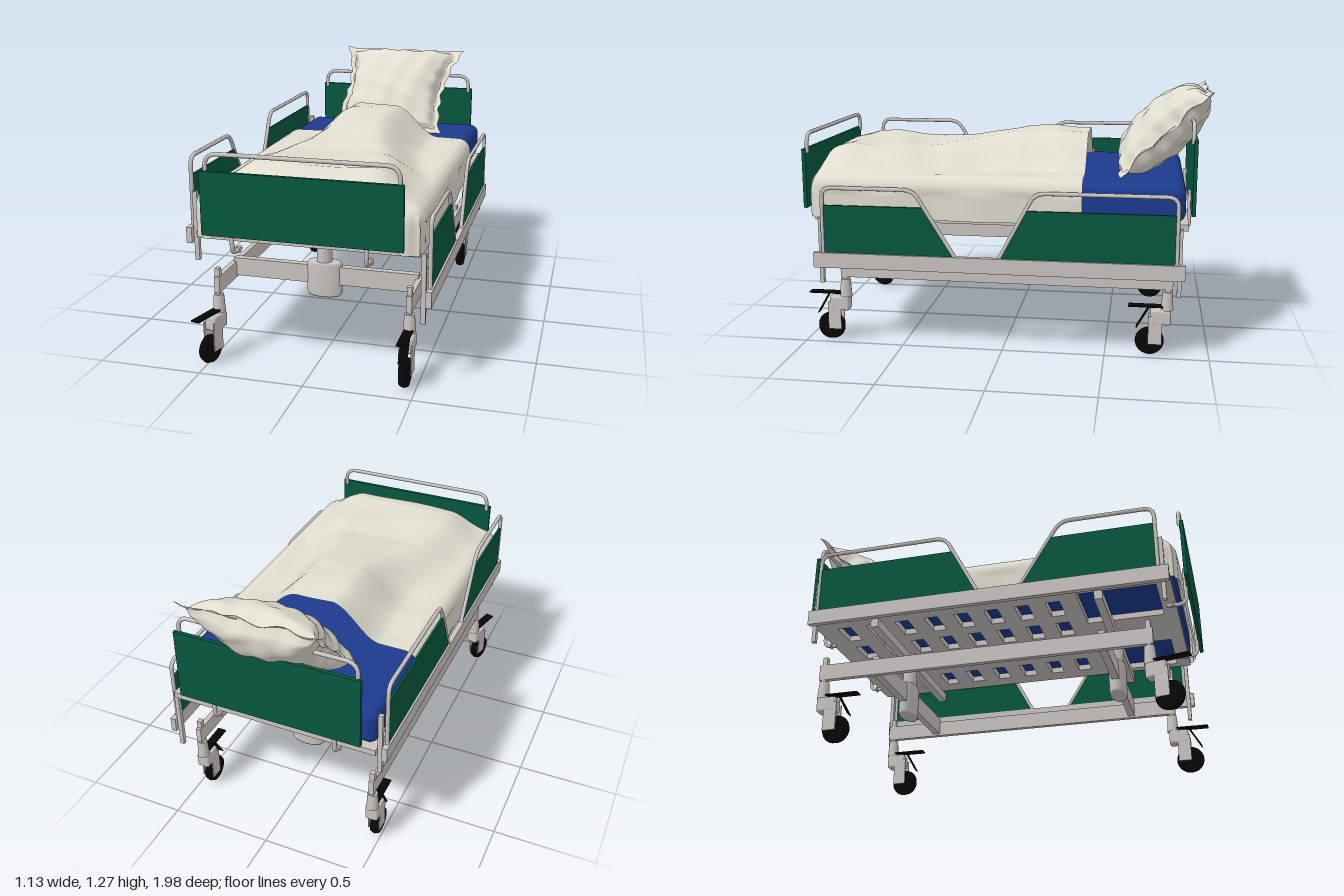
import * as THREE from 'three';
import { RoundedBoxGeometry } from 'three/addons/geometries/RoundedBoxGeometry.js';

const mat = (name, color, side = THREE.FrontSide) => {
  const m = new THREE.MeshStandardMaterial({ color, side });
  m.name = name;
  return m;
};
const V = (x, y, z) => new THREE.Vector3(x, y, z);

export function createModel() {
  const metal = mat('pale metal', 0xc8c4c0);
  const green = mat('green panel', 0x06573e);
  const blue = mat('blue mattress', 0x1c3a8e);
  const linen = mat('cream linen', 0xe0ddd0, THREE.DoubleSide);
  const black = mat('black rubber', 0x070707);
  const bed = new THREE.Group();
  bed.name = 'hospitalBed';

  const add = (parent, name, geo, material, x = 0, y = 0, z = 0) => {
    const mesh = new THREE.Mesh(geo, material);
    mesh.name = name;
    mesh.position.set(x, y, z);
    parent.add(mesh);
    return mesh;
  };
  const group = (parent, name) => {
    const g = new THREE.Group();
    g.name = name;
    parent.add(g);
    return g;
  };
  // box given by its limits on each axis
  const box = (parent, name, m, x0, x1, y0, y1, z0, z1) => add(parent, name,
    new THREE.BoxGeometry(x1 - x0, y1 - y0, z1 - z0), m, (x0 + x1) / 2, (y0 + y1) / 2, (z0 + z1) / 2);
  // round bar through points, with softened bends
  const bar = (parent, name, pts, r = 0.01, bend = 0.05) => {
    const path = new THREE.CurvePath();
    let from = pts[0];
    for (let i = 1; i < pts.length - 1; i++) {
      const p = pts[i];
      const a = p.clone().add(pts[i - 1].clone().sub(p).setLength(bend));
      const b = p.clone().add(pts[i + 1].clone().sub(p).setLength(bend));
      path.add(new THREE.LineCurve3(from, a));
      path.add(new THREE.QuadraticBezierCurve3(a, p, b));
      from = b;
    }
    path.add(new THREE.LineCurve3(from, pts[pts.length - 1]));
    return add(parent, name, new THREE.TubeGeometry(path, 70, r, 10), metal);
  };
  // smooth sheet from a rule (u, v in 0..1)
  const sheet = (parent, name, nu, nv, rule, m) => {
    const geo = new THREE.PlaneGeometry(1, 1, nu, nv);
    const p = geo.attributes.position;
    for (let i = 0; i < p.count; i++) p.setXYZ(i, ...rule(p.getX(i) + 0.5, p.getY(i) + 0.5));
    geo.computeVertexNormals();
    return add(parent, name, geo, m);
  };
  const { smoothstep, clamp, lerp } = THREE.MathUtils;

  // Base: long beams, corner posts and castors
  const base = group(bed, 'base');
  base.position.x = -0.013;
  for (const s of [-1, 1]) {
    box(base, 'baseBeam', metal, s * 0.46 - 0.013, s * 0.46 + 0.013, 0.33, 0.41, -0.82, 0.82);
    for (const z of [-0.795, 0.8]) {
      const turned = s < 0 && z > 0; // one castor is swivelled, its pedal up
      box(base, 'cornerPost', metal, s * 0.46 - 0.012, s * 0.46 + 0.012, 0.31, 0.45, z - 0.012, z + 0.012);
      const castor = group(base, 'castor');
      castor.position.set(s * 0.46, 0, z);
      castor.rotation.y = turned ? -0.25 : 0;
      add(castor, 'stem', new THREE.CylinderGeometry(0.024, 0.03, 0.09, 20), metal, 0, 0.275, 0);
      add(castor, 'forkCrown', new RoundedBoxGeometry(0.064, 0.075, 0.1, 3, 0.012), metal, 0, 0.195, 0.03);
      for (const k of [-1, 1]) box(castor, 'forkArm', metal, k * 0.028 - 0.003, k * 0.028 + 0.003, 0.06, 0.2, 0.022, 0.088);
      // rounded tyre profile
      const tyre = [[0, -0.018], [0.045, -0.018], [0.052, -0.022], [0.063, -0.019], [0.07, 0],
        [0.063, 0.019], [0.052, 0.022], [0.045, 0.018], [0, 0.018]].map(([r, y]) => new THREE.Vector2(r, y));
      add(castor, 'wheel', new THREE.LatheGeometry(tyre, 36), black, 0, 0.07, 0.08).rotation.z = Math.PI / 2;
      box(castor, 'brakeTop', black, -0.022, 0.022, 0.242, 0.249, 0.02, 0.185);
      if (!turned) add(castor, 'brakePedal', new THREE.BoxGeometry(0.042, 0.004, 0.12), black, 0, 0.19, 0.115).rotation.x = 1.05;
    }
  }
  // Cross beams and lift columns
  for (const z of [-0.53, 0.585]) {
    box(base, 'baseCrossBeam', metal, -0.46, 0.46, 0.34, 0.43, z - 0.018, z + 0.018);
    const housing = [[0, 0.28], [0.078, 0.28], [0.086, 0.29], [0.088, 0.44], [0.078, 0.452], [0, 0.452]]
      .map(([r, y]) => new THREE.Vector2(r, y));
    add(bed, 'liftHousing', new THREE.LatheGeometry(housing, 32), metal, -0.015, 0, z).scale.z = 0.5;
    add(bed, 'liftColumn', new THREE.CylinderGeometry(0.037, 0.037, 0.13, 24), metal, -0.015, 0.505, z);
    add(bed, 'liftCollar', new THREE.CylinderGeometry(0.045, 0.045, 0.018, 24), metal, -0.015, 0.562, z);
    box(bed, 'liftHead', metal, -0.037, 0.008, 0.6, 0.645, z - 0.025, z + 0.025);
    box(bed, 'upperCrossBar', metal, -0.52, 0.52, 0.57, 0.615, z - 0.02, z + 0.02);
  }

  // Slotted platform under the mattress
  const rect = (P, x0, x1, y0, y1) => {
    const p = new P();
    p.moveTo(x0, y0); p.lineTo(x1, y0); p.lineTo(x1, y1); p.lineTo(x0, y1); p.closePath();
    return p;
  };
  const deck = rect(THREE.Shape, -0.515, 0.515, -0.88, 0.92);
  for (const x of [-0.47, 0.15]) deck.holes.push(rect(THREE.Path, x, x + 0.32, 0.47, 0.85));
  for (let r = 0; r < 8; r++) for (let c = 0; c < 4; c++) {
    const x = (c - 1.5) * 0.23, z = -0.74 + r * 0.155;
    deck.holes.push(rect(THREE.Path, x - 0.075, x + 0.075, z - 0.035, z + 0.035));
  }
  const deckGeo = new THREE.ExtrudeGeometry(deck, { depth: 0.03, bevelEnabled: false });
  deckGeo.rotateX(Math.PI / 2);
  add(bed, 'platform', deckGeo, metal, 0, 0.665, 0);

  // Head and foot boards with bent rails and hooks
  const endBoard = (name, z, inner, y0, y1, top) => {
    const g = group(bed, name);
    const d = Math.sign(z);
    box(g, 'boardPanel', green, -0.456, 0.456, y0, y1, z - 0.009, z + 0.009);
    bar(g, 'boardRail', [V(-0.435, y1 - 0.02, z - d * 0.012), V(-0.435, top, z - d * 0.012),
      V(0.435, top, z - d * 0.012), V(0.435, y1 - 0.02, z - d * 0.012)], 0.01, 0.06);
    for (const x of [-0.322, 0.29]) {
      bar(g, 'boardHook', [V(x, y0 + 0.1, z - d * 0.014), V(x, 0.592, z - d * 0.014), V(x, 0.592, inner)], 0.01, 0.04);
      add(g, 'hookRing', new THREE.TorusGeometry(0.012, 0.005, 8, 16), metal, x, 0.592, inner + d * 0.03);
    }
  };
  endBoard('footBoard', 0.989, 0.88, 0.677, 0.97, 1.045);
  endBoard('headBoard', -0.903, -0.82, 0.69, 1.05, 1.125);

  // Side rails: lowered on the left, raised on the right
  for (const s of [1, -1]) {
    const g = group(bed, s > 0 ? 'leftSideRail' : 'rightSideRail');
    g.position.y = s > 0 ? 0 : 0.2;
    box(g, 'railBeam', metal, s * 0.553 - 0.013, s * 0.553 + 0.013, 0.405, 0.48, -0.87, 0.92);
    for (const z of [0.89, -0.845]) box(g, 'railSlider', metal, s * 0.526 - 0.011, s * 0.526 + 0.011, 0.32, 0.645, z - 0.01, z + 0.01);
    // outer end, top of slope, foot of slope along z
    for (const [outer, slope, foot] of [[0.872, 0.42, 0.215], [-0.83, -0.165, 0.01]]) {
      bar(g, 'railTube', [V(s * 0.55, 0.47, outer), V(s * 0.55, 0.8, outer),
        V(s * 0.55, 0.8, slope), V(s * 0.55, 0.47, foot)], 0.01, 0.05);
      const k = lerp(foot, slope, 0.74);
      const panel = new THREE.Shape([[outer, 0.47], [foot, 0.47], [k, 0.715], [outer, 0.715]]
        .map(([z, y]) => new THREE.Vector2(z, y)));
      const geo = new THREE.ExtrudeGeometry(panel, { depth: 0.012, bevelEnabled: false });
      geo.rotateY(-Math.PI / 2);
      add(g, 'railPanel', geo, green, s * 0.55 + 0.006, 0, 0);
    }
  }

  // Mattress
  add(bed, 'mattress', new RoundedBoxGeometry(1.02, 0.18, 1.795, 5, 0.045), blue, 0, 0.757, 0.0325);

  // Blanket: draped over the sides and foot, open at the head, raised by the sleeper's shape
  const wrap = (a, edge, r) => { // distance along cloth -> [position, drop]
    const flat = edge - r, arc = r * Math.PI / 2;
    if (a < flat) return [a, 0];
    if (a < flat + arc) {
      const t = (a - flat) / r;
      return [flat + r * Math.sin(t), r * (1 - Math.cos(t))];
    }
    return [edge, Math.min(r + a - flat - arc, 0.215)];
  };
  const ridge = [[-0.385, 0.176], [-0.05, 0.176], [0.1, 0.145], [0.25, 0.12], [0.42, 0.1], [0.6, 0.105], [0.8, 0.118], [0.9, 0.09], [0.96, 0.03]];
  const ridgeAt = (z) => {
    const i = clamp(ridge.findIndex(([k]) => k > z), 1, ridge.length - 1);
    const [z0, h0] = ridge[i - 1], [z1, h1] = ridge[i];
    return lerp(h0, h1, clamp((z - z0) / (z1 - z0), 0, 1));
  };
  sheet(bed, 'blanket', 90, 110, (u, v) => {
    const a = (u - 0.5) * 1.42;
    const b = lerp(1.14, -0.385, v);
    const [ax, dx] = wrap(Math.abs(a), 0.525, 0.065);
    const [z, dz] = wrap(b, 0.955, 0.08);
    let x = Math.sign(a) * ax + 0.004;
    const foot = smoothstep(z, 0, 0.7);
    const body = 1 - smoothstep(Math.abs(x - 0.01), lerp(0.09, 0.26, foot), lerp(0.34, 0.5, foot));
    const crease = (0.006 * Math.sin(9 * x + 5 * z) * Math.sin(11 * z - 4 * x) + 0.003 * Math.sin(23 * z + 6 * x))
      * (1 - smoothstep(Math.abs(x), 0.36, 0.48));
    const drop = Math.max(dx, dz);
    let y = 0.862 + (ridgeAt(z) * body + crease) * (1 - drop / 0.215) - drop;
    if (dx > 0.08) x += 0.005 * Math.sin(14 * z);
    if (dz > 0.1) y = Math.max(y, lerp(0.685, 0.645, smoothstep(Math.abs(x), 0.4, 0.44))); // raised foot hem
    const corner = smoothstep(z, 0.88, 0.955) * smoothstep(Math.abs(x), 0.45, 0.525) * 0.018;
    return [x - Math.sign(x) * corner, y, z - corner];
  }, linen);

  // Pillow: two puffed faces meeting in a thin ruffled border
  const pillow = group(bed, 'pillow');
  pillow.position.set(0.035, 1.052, -0.758);
  pillow.rotation.x = -0.8;
  for (const s of [1, -1]) {
    sheet(pillow, s > 0 ? 'pillowFront' : 'pillowBack', 64, 64, (u, v) => {
      const p = s * (u * 2 - 1), q = v * 2 - 1;
      const ip = clamp(1 - (p / 0.88) ** 2, 0, 1), iq = clamp(1 - (q / 0.9) ** 2, 0, 1);
      const puff = 0.135 * (ip * iq) ** 0.38;
      const border = smoothstep(Math.max(Math.abs(p), Math.abs(q)), 0.6, 1);
      const ruffle = 0.014 * Math.sin(10 * p + 3 * q) * Math.cos(9 * q - 2 * p) * border;
      const fold = 0.008 * Math.sin(9 * p + 5 * q) * Math.sin(8 * q - 4 * p) * (1 - border);
      const width = 0.358 * (1 - 0.17 * (1 - q * q)) * lerp(0.91, 1, v);
      return [p * width + lerp(-0.03, 0, v) + 0.006 * Math.sin(19 * q) * border,
        q * 0.305 * (1 - 0.04 * (1 - p * p)) + 0.005 * Math.sin(17 * p) * border, s * puff + ruffle + fold];
    }, linen);
  }
  return bed;
}
